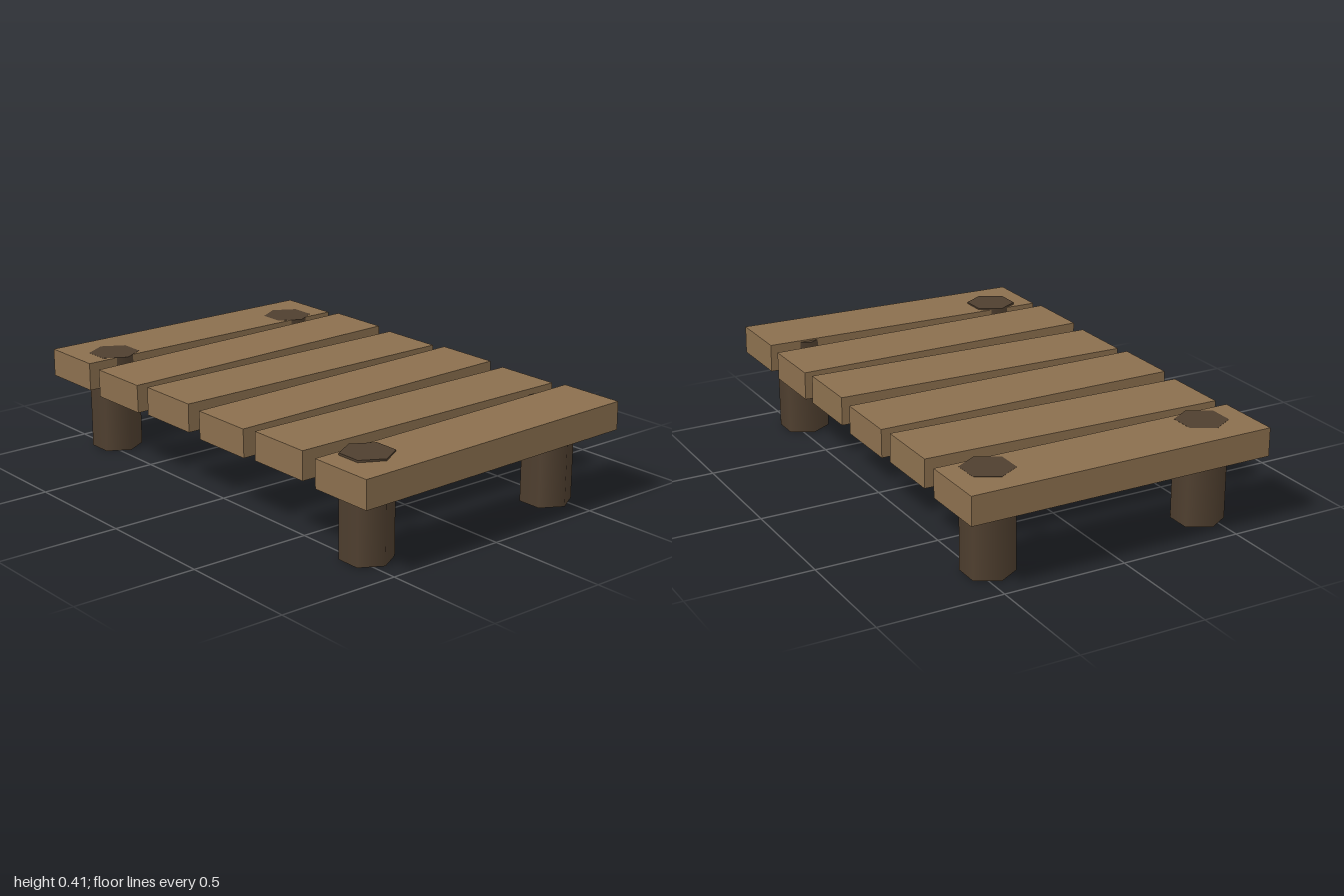
import * as THREE from 'three';

export function createModel() {
  const model = new THREE.Group();
  model.name = 'woodenDock';

  const plankWood = new THREE.MeshStandardMaterial({ color: 0x8b6f4e });
  plankWood.name = 'plank wood';
  const postWood = new THREE.MeshStandardMaterial({ color: 0x4f3f2f });
  postWood.name = 'dark post wood';

  // Deck: six planks, every other one slightly tilted
  const plankGeometry = new THREE.BoxGeometry(1.264, 0.114, 0.275);
  for (let i = 0; i < 6; i++) {
    const plank = new THREE.Mesh(plankGeometry, plankWood);
    plank.name = `plank${i + 1}`;
    plank.position.set(0, 0.347, -0.8625 + i * 0.345);
    plank.rotation.z = i % 2 ? 0.015 : 0;
    model.add(plank);
  }

  // Posts: smooth-shaded six-sided piles, just reaching through the deck
  const postHeight = 0.4045;
  const postGeometry = new THREE.CylinderGeometry(0.103, 0.103, postHeight, 6);
  for (const [zName, z] of [['front', 0.805], ['back', -0.805]]) {
    for (const [xName, x] of [['Left', 0.459], ['Right', -0.459]]) {
      const post = new THREE.Mesh(postGeometry, postWood);
      post.name = `${zName}${xName}Post`;
      post.position.set(x, postHeight / 2, z);
      model.add(post);
    }
  }

  return model;
}
